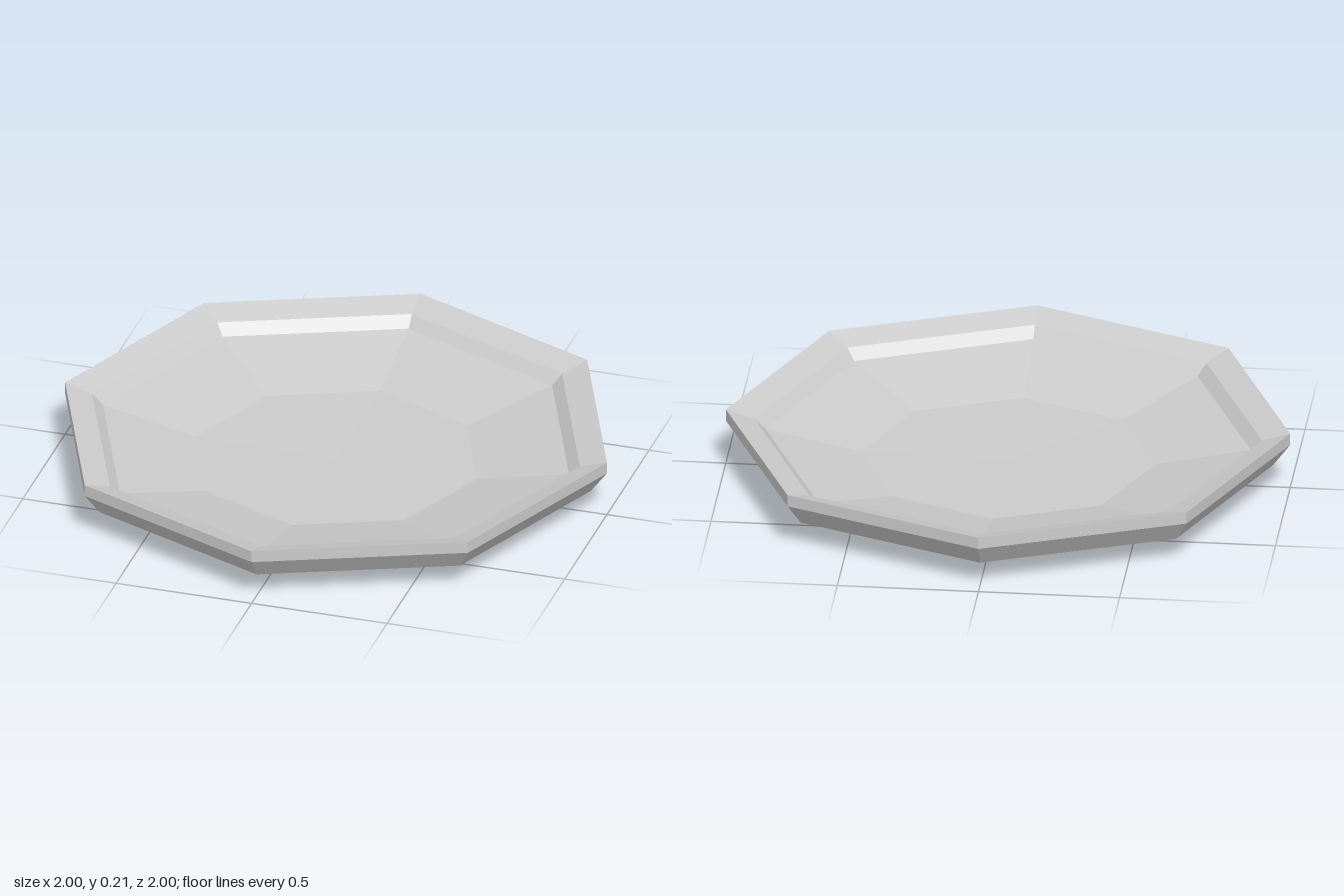
import * as THREE from 'three';

const SIDES = 8;

// Eight-sided turned part from [radius, height] pairs, ordered underside to top
function turned(name, profile, material) {
  const points = profile.map(([r, y]) => new THREE.Vector2(r, y));
  const mesh = new THREE.Mesh(new THREE.LatheGeometry(points, SIDES), material);
  mesh.name = name;
  return mesh;
}

export function createModel() {
  const group = new THREE.Group();
  group.name = 'plate';
  const material = new THREE.MeshStandardMaterial({ color: 0xcccccc, flatShading: true });

  // Dish: underside, outer wall, then the rim and well back to the centre
  group.add(turned('dish', [
    [0.54, 0.045], [0.64, 0.057], [0.85, 0.063], [0.94, 0.085],
    [1, 0.165], [1, 0.208],
    [0.9, 0.178], [0.86, 0.14], [0.52, 0.066], [0, 0.06],
  ], material));

  // Foot: recessed base, bevelled ring and short outer wall
  group.add(turned('foot', [
    [0, 0.015], [0.485, 0.015], [0.495, 0], [0.54, 0.01], [0.54, 0.045],
  ], material));

  return group;
}
